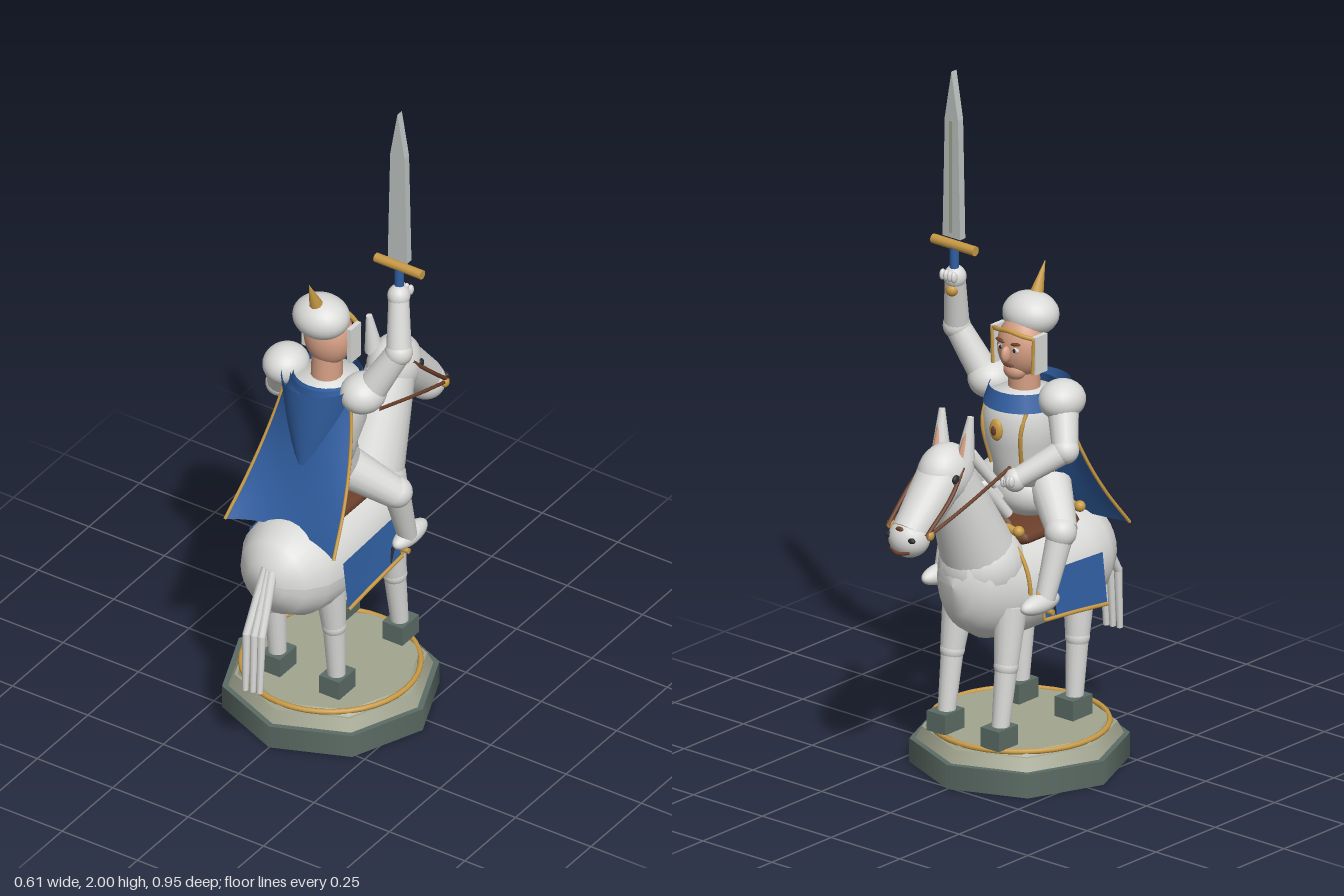
import * as THREE from 'three';

const mat = (name, color, side = THREE.FrontSide) => {
  const m = new THREE.MeshStandardMaterial({ color, side });
  m.name = name;
  return m;
};
const V = (p) => new THREE.Vector3(...p);

export function createModel() {
  const root = new THREE.Group();
  const white = mat('ivory white', 0xdadbd8), blue = mat('royal blue', 0x315fa2, THREE.DoubleSide);
  const gold = mat('gold', 0xc89a45), brown = mat('leather brown', 0x6b3f2a);
  const skin = mat('skin', 0xd69f84), dark = mat('near black', 0x2c2c30);
  const slate = mat('slate green', 0x5c6c65), stone = mat('pale stone', 0xa2a690);
  const steel = mat('steel', 0xbcc3c1);

  const part = (parent, name, geo, m, pos = [0, 0, 0], scale = [1, 1, 1], rot = [0, 0, 0]) => {
    const mesh = new THREE.Mesh(geo, m);
    mesh.name = name;
    mesh.position.set(...pos);
    mesh.scale.set(...scale);
    mesh.rotation.set(...rot);
    parent.add(mesh);
    return mesh;
  };
  const group = (name) => {
    const g = new THREE.Group();
    g.name = name;
    root.add(g);
    return g;
  };
  const ball = (p, name, m, pos, r, rot) =>
    part(p, name, new THREE.SphereGeometry(1, 24, 16), m, pos, Array.isArray(r) ? r : [r, r, r], rot);
  const limb = (p, name, m, a, b, ra, rb, seg = 16) => {
    const d = V(b).sub(V(a));
    const mesh = part(p, name, new THREE.CylinderGeometry(rb, ra, d.length(), seg), m);
    mesh.position.copy(V(a)).addScaledVector(d, 0.5);
    mesh.quaternion.setFromUnitVectors(new THREE.Vector3(0, 1, 0), d.normalize());
    return mesh;
  };
  const tube = (p, name, m, pts, r) =>
    part(p, name, new THREE.TubeGeometry(new THREE.CatmullRomCurve3(pts.map(V)), 20, r, 8), m);
  // Sheet bent by a rule f(u, v) -> [x, y, z]
  const sheet = (p, name, m, f) => {
    const g = new THREE.PlaneGeometry(1, 1, 16, 12), a = g.attributes.position, uv = g.attributes.uv;
    for (let i = 0; i < a.count; i++) a.setXYZ(i, ...f(uv.getX(i), 1 - uv.getY(i)));
    g.computeVertexNormals();
    return part(p, name, g, m);
  };
  // Closed skin over elliptical rings [z, y, rx, ry], ordered from +z to -z
  const loft = (rings, seg = 28) => {
    const pos = [], idx = [], n = seg + 1;
    rings.forEach(([z, y, rx, ry], i) => {
      for (let j = 0; j <= seg; j++) {
        const t = (j / seg) * Math.PI * 2;
        pos.push(Math.cos(t) * rx, y + Math.sin(t) * ry, z);
        if (i && j) {
          const c = i * n + j, b = c - n;
          idx.push(b - 1, c, b, b - 1, c - 1, c);
        }
      }
    });
    const g = new THREE.BufferGeometry();
    g.setAttribute('position', new THREE.Float32BufferAttribute(pos, 3));
    g.setIndex(idx);
    g.computeVertexNormals();
    return g;
  };

  // Octagonal plinth
  const base = group('plinth');
  [['foot', 0.305, 0.305, 0, 0.07, slate], ['step', 0.27, 0.288, 0.07, 0.105, stone], ['top', 0.25, 0.262, 0.105, 0.12, stone]]
    .forEach(([name, rt, rb, y0, y1, m]) =>
      part(base, name, new THREE.CylinderGeometry(rt, rb, y1 - y0, 8), m, [0, (y0 + y1) / 2, 0.045]));
  part(base, 'goldRing', new THREE.TorusGeometry(0.248, 0.008, 8, 40), gold, [0, 0.116, 0.045], [1, 1, 1], [Math.PI / 2, 0, 0]);

  // Horse body, neck and head, facing -z
  const horse = group('horse');
  const bodyRings = [[0.375, 0.565, 0, 0], [0.365, 0.565, 0.06, 0.062], [0.33, 0.56, 0.108, 0.115], [0.27, 0.555, 0.143, 0.146],
    [0.2, 0.55, 0.153, 0.154], [0.08, 0.545, 0.15, 0.15], [-0.05, 0.55, 0.14, 0.155], [-0.13, 0.57, 0.125, 0.16],
    [-0.19, 0.585, 0.098, 0.135], [-0.225, 0.59, 0.062, 0.09], [-0.24, 0.59, 0, 0]];
  part(horse, 'body', loft(bodyRings), white);
  ball(horse, 'chest', white, [0, 0.625, -0.115], [0.122, 0.12, 0.122]);
  limb(horse, 'neck', white, [0, 0.65, -0.125], [0, 0.92, -0.25], 0.108, 0.07, 24);
  ball(horse, 'skull', white, [0, 0.932, -0.268], [0.072, 0.09, 0.09]);
  limb(horse, 'face', white, [0, 0.925, -0.29], [0, 0.8, -0.42], 0.07, 0.053, 24);
  ball(horse, 'muzzle', white, [0, 0.79, -0.42], [0.06, 0.056, 0.056]);
  tube(horse, 'mouth', brown, [[-0.035, 0.762, -0.458], [0, 0.757, -0.47], [0.035, 0.762, -0.458]], 0.005);
  ball(horse, 'noseMark', brown, [0, 0.825, -0.46], [0.014, 0.007, 0.007]);
  // Mane tufts along the crest
  [[-0.005, 0.96, -0.165], [0.006, 0.91, -0.14], [-0.01, 0.86, -0.12]].forEach(([x, y, z]) => {
    limb(horse, 'maneTuft', white, [x, y, z], [x - 0.03, y - 0.1, z + 0.07], 0.018, 0.015);
    ball(horse, 'maneTip', white, [x, y, z], 0.018);
  });
  // Tail strands
  [-0.004, 0.018, 0.038].forEach((x, i) => {
    limb(horse, 'tailUpper', white, [x * 0.5, 0.61, 0.36], [x, 0.44, 0.455 - i * 0.006], 0.015, 0.012, 8);
    limb(horse, 'tailLower', white, [x, 0.445, 0.455 - i * 0.006], [x + 0.005, 0.265, 0.468 - i * 0.004], 0.012, 0.009, 8);
  });

  for (const s of [-1, 1]) {
    // Legs and hooves
    [['hind', 0.19, 0.175, 0.162], ['fore', -0.1, -0.125, -0.15]].forEach(([n, z0, z1, z2]) => {
      limb(horse, n + 'UpperLeg', white, [s * 0.092, 0.52, z0], [s * 0.098, 0.35, z1], 0.048, 0.034);
      ball(horse, n + 'Knee', white, [s * 0.098, 0.35, z1], 0.035);
      limb(horse, n + 'LowerLeg', white, [s * 0.098, 0.35, z1], [s * 0.098, 0.17, z2], 0.032, 0.025);
      part(horse, n + 'Hoof', new THREE.BoxGeometry(0.066, 0.058, 0.082), slate, [s * 0.098, 0.151, z2 - 0.004]);
    });
    // Ears, eyes and nostrils
    limb(horse, 'ear', white, [s * 0.044, 0.98, -0.235], [s * 0.052, 1.1, -0.222], 0.027, 0.009, 12);
    limb(horse, 'innerEar', skin, [s * 0.045, 0.99, -0.251], [s * 0.052, 1.085, -0.229], 0.013, 0.004, 8);
    ball(horse, 'horseEye', dark, [s * 0.066, 0.94, -0.3], [0.008, 0.014, 0.014]);
    ball(horse, 'nostril', dark, [s * 0.042, 0.8, -0.459], [0.012, 0.008, 0.008]);
    // Bridle and reins
    tube(horse, 'cheekStrap', brown, [[s * 0.062, 0.965, -0.265], [s * 0.075, 0.9, -0.33], [s * 0.07, 0.81, -0.43]], 0.006);
    ball(horse, 'bitRing', gold, [s * 0.072, 0.81, -0.415], [0.01, 0.014, 0.014]);
    tube(horse, 'rein', brown, [[s * 0.072, 0.81, -0.425], [s * 0.08, 0.86, -0.27], [s * 0.073, 0.915, -0.08]], 0.005);
    // Saddle cloth with trim
    sheet(horse, 'saddleCloth', blue, (u, v) =>
      [s * (0.155 + 0.017 * v), 0.6 + 0.012 * u - v * (0.15 - 0.018 * u), 0.215 - 0.265 * u]);
    tube(horse, 'clothTrim', gold, [[s * 0.173, 0.452, 0.215], [s * 0.173, 0.468, 0.08], [s * 0.173, 0.48, -0.05]], 0.006);
    tube(horse, 'clothSideTrim', gold, [[s * 0.156, 0.612, -0.05], [s * 0.165, 0.54, -0.05], [s * 0.173, 0.48, -0.05]], 0.004);
  }
  part(horse, 'girth', new THREE.TorusGeometry(0.15, 0.006, 8, 32, Math.PI), gold, [0, 0.555, -0.075], [0.95, 1.1, 1]);

  // Saddle
  const saddle = group('saddle');
  part(saddle, 'seat', new THREE.CapsuleGeometry(0.03, 0.2, 6, 16), brown, [0, 0.695, 0.068], [3.6, 1, 1], [Math.PI / 2, 0, 0]);
  ball(saddle, 'pommel', brown, [0, 0.72, -0.05], [0.06, 0.04, 0.022]);
  for (const z of [0.2, -0.058]) {
    tube(saddle, 'goldRim', gold, [[-0.085, 0.715, z], [0, 0.735, z], [0.085, 0.715, z]], 0.011);
    for (const s of [-1, 1]) ball(saddle, 'goldKnob', gold, [s * 0.085, 0.722, z], 0.016);
  }

  // Rider's torso
  const rider = group('rider');
  const profile = [[0, 0.82], [0.085, 0.83], [0.083, 0.87], [0.108, 0.95], [0.114, 1.03], [0.09, 1.085], [0, 1.11]];
  part(rider, 'breastplate', new THREE.LatheGeometry(profile.map(([x, y]) => new THREE.Vector2(x, y)), 32), white, [0, 0, 0.06]);
  ball(rider, 'hips', white, [0, 0.79, 0.08], [0.1, 0.075, 0.09]);
  ball(rider, 'emblem', gold, [0, 1.0, -0.054], [0.022, 0.032, 0.012]);
  ball(rider, 'emblemCentre', brown, [0, 1.0, -0.065], [0.009, 0.014, 0.005]);
  part(rider, 'collar', new THREE.CylinderGeometry(0.095, 0.112, 0.05, 24, 1, true), blue, [0, 1.08, 0.06]);

  // Cape and hanging hood
  const capeAt = (u, v) => {
    const c = 1 - (2 * u - 1) ** 2, edge = 0.1 + 0.05 * v + 0.15 * v * v, mid = 0.165 + 0.09 * v * v;
    return [(2 * u - 1) * (0.1 + 0.08 * v), 1.1 - v * (0.43 - 0.01 * c), edge + (mid - edge) * c];
  };
  sheet(rider, 'cape', blue, capeAt);
  for (const u of [0, 1]) tube(rider, 'capeTrim', gold, [0, 0.25, 0.5, 0.75, 1].map((v) => capeAt(u, v)), 0.005);
  sheet(rider, 'hood', blue, (u, v) => {
    const t = Math.PI * u;
    return [-Math.cos(t) * (0.11 - 0.035 * v - 0.025 * v ** 4), 1.105 - v * (0.2 + 0.045 * Math.sin(t)), 0.095 + Math.sin(t) * (0.11 - 0.01 * v)];
  });

  // Head and helmet
  limb(rider, 'neck', skin, [0, 1.07, 0.065], [0, 1.2, 0.062], 0.046, 0.042);
  ball(rider, 'head', skin, [0, 1.22, 0.055], [0.072, 0.09, 0.065]);
  ball(rider, 'chin', skin, [0, 1.155, 0.025], [0.035, 0.028, 0.028]);
  ball(rider, 'nose', skin, [0, 1.21, -0.012], [0.012, 0.024, 0.018]);
  ball(rider, 'mouth', brown, [0, 1.176, -0.003], [0.018, 0.005, 0.007]);
  ball(rider, 'helmetDome', white, [0, 1.303, 0.092], [0.083, 0.062, 0.074]);
  tube(rider, 'browBand', gold, [[-0.078, 1.262, 0.024], [-0.045, 1.268, 0.008], [0, 1.276, -0.001], [0.045, 1.268, 0.008], [0.078, 1.262, 0.024]], 0.007);
  limb(rider, 'helmetSpike', gold, [0, 1.35, 0.115], [0, 1.44, 0.152], 0.021, 0.001, 10);

  for (const s of [-1, 1]) {
    part(rider, 'cheekGuard', new THREE.BoxGeometry(0.014, 0.11, 0.05), white, [s * 0.075, 1.215, 0.042]);
    limb(rider, 'guardTrim', gold, [s * 0.076, 1.262, 0.016], [s * 0.072, 1.16, 0.016], 0.005, 0.005, 8);
    ball(rider, 'eyeWhite', white, [s * 0.026, 1.225, -0.003], [0.012, 0.008, 0.005]);
    ball(rider, 'pupil', dark, [s * 0.025, 1.225, -0.007], [0.005, 0.006, 0.003]);
    ball(rider, 'eyebrow', brown, [s * 0.027, 1.243, -0.004], [0.018, 0.005, 0.007], [0, 0, s * 0.15]);
    tube(rider, 'chestTrim', gold, [[s * 0.075, 1.07, -0.005], [s * 0.07, 1.0, -0.031], [s * 0.055, 0.88, -0.01]], 0.006);
    // Armoured legs
    limb(rider, 'thigh', white, [s * 0.08, 0.82, 0.08], [s * 0.188, 0.73, 0.005], 0.06, 0.044);
    ball(rider, 'kneeGuard', white, [s * 0.188, 0.73, 0], 0.045);
    limb(rider, 'shin', white, [s * 0.188, 0.73, 0], [s * 0.183, 0.55, -0.06], 0.038, 0.028);
    ball(rider, 'boot', white, [s * 0.18, 0.54, -0.078], [0.03, 0.029, 0.076]);
    ball(rider, 'bootStud', gold, [s * 0.18, 0.568, -0.085], 0.006);
    limb(rider, 'stirrup', gold, [s * 0.163, 0.508, -0.045], [s * 0.2, 0.508, -0.045], 0.008, 0.008, 8);
    limb(rider, 'spur', dark, [s * 0.17, 0.53, -0.01], [s * 0.168, 0.475, 0.003], 0.005, 0.003, 8);
    // Arms: +x raised, -x bent toward the reins
    const up = s > 0;
    const elbow = up ? [0.216, 1.23, 0.03] : [-0.187, 0.965, 0.02], wrist = up ? [0.192, 1.39, -0.005] : [-0.095, 0.885, -0.085];
    ball(rider, 'shoulderGuard', white, [s * 0.128, 1.085, 0.075], [0.064, 0.057, 0.07]);
    limb(rider, 'upperArm', white, [s * 0.135, 1.075, 0.07], elbow, 0.045, 0.036);
    ball(rider, 'elbowGuard', white, elbow, 0.039);
    limb(rider, 'forearm', white, elbow, wrist, 0.036, 0.029);
    ball(rider, 'gauntlet', white, wrist, [0.032, 0.034, 0.032]);
    for (let i = 0; i < 4; i++)
      ball(rider, 'finger', white, up ? [0.17 + i * 0.014, 1.4, -0.034] : [-0.108 + i * 0.013, 0.89 - i * 0.004, -0.114 + i * 0.004], [0.008, 0.016, 0.011]);
  }

  // Raised sword
  const sword = group('sword');
  sword.position.set(0.19, 0, -0.01);
  limb(sword, 'grip', blue, [0, 1.37, 0], [0, 1.48, 0], 0.013, 0.013);
  ball(sword, 'pommel', gold, [0, 1.355, -0.01], 0.018);
  limb(sword, 'crossguard', gold, [-0.077, 1.485, 0], [0.077, 1.485, 0], 0.014, 0.014, 10);
  const outline = [[-0.032, 1.51], [0.032, 1.51], [0.024, 1.86], [0, 2], [-0.024, 1.86]].map(([x, y]) => new THREE.Vector2(x, y));
  part(sword, 'blade', new THREE.ExtrudeGeometry(new THREE.Shape(outline), { depth: 0.022, bevelEnabled: false }), steel, [0, 0, -0.013]);
  part(sword, 'bladeGroove', new THREE.BoxGeometry(0.01, 0.33, 0.004), stone, [0, 1.69, -0.014]);
  return root;
}
